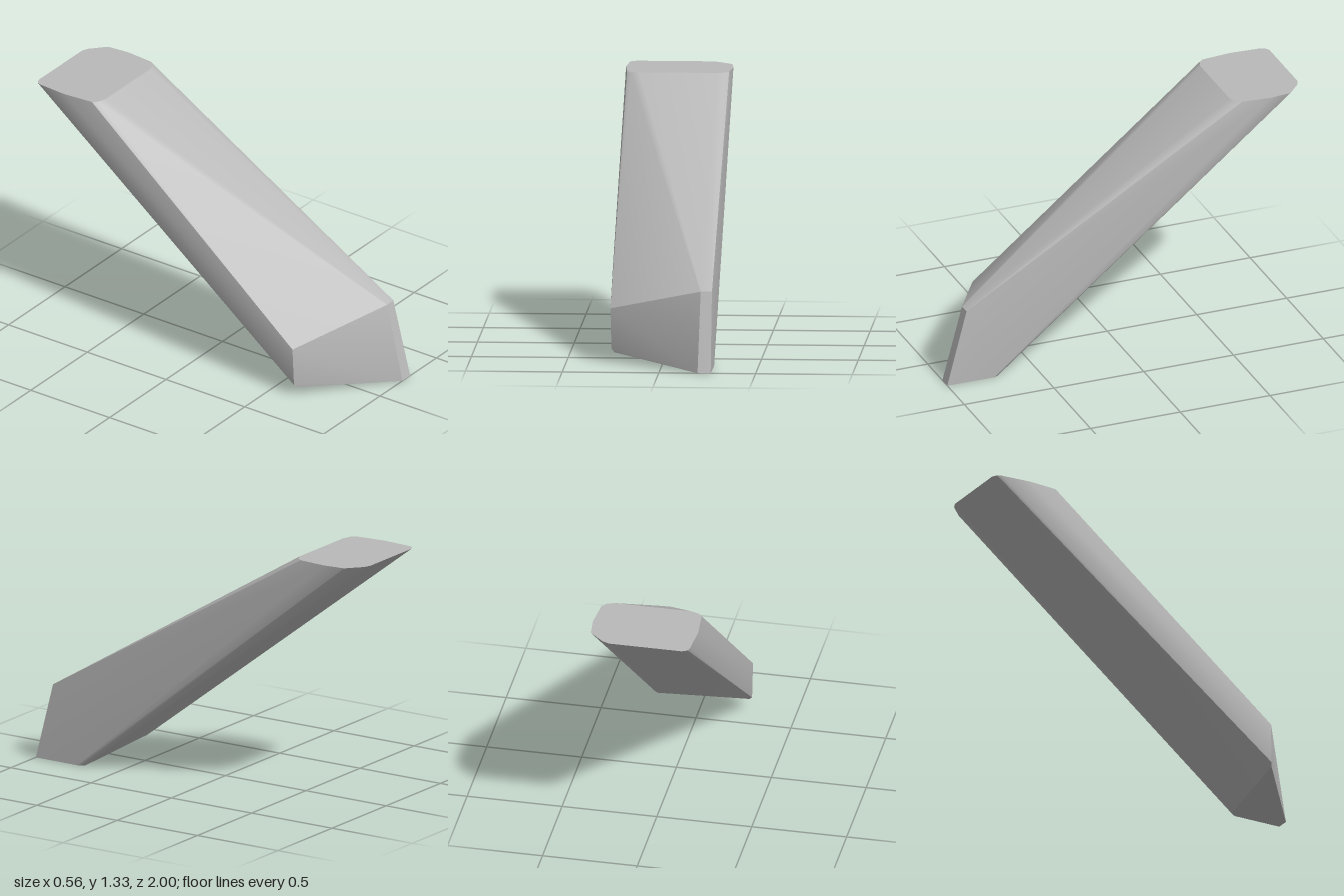
import * as THREE from 'three';
import { ConvexGeometry } from 'three/addons/geometries/ConvexGeometry.js';
import { toCreasedNormals } from 'three/addons/utils/BufferGeometryUtils.js';

export function createModel() {
  const group = new THREE.Group();
  group.name = 'slantedShard';

  const stone = new THREE.MeshStandardMaterial({ color: 0xb8b8b8 });
  stone.name = 'plain grey';

  // Rounded outline of the flat top, as x, z
  const top = 1.325;
  const cap = [
    [-0.2, -0.6], [-0.245, -0.615], [-0.265, -0.64], [-0.28, -0.8],
    [-0.27, -0.96], [-0.262, -0.985], [-0.235, -1], [0.15, -1],
    [0.185, -0.985], [0.262, -0.915], [0.275, -0.8], [0.262, -0.645],
    [0.24, -0.615], [0.2, -0.6],
  ].map(([x, z]) => [x, top, z]);

  // Pointed foot: tall nose on one side, short edge on the other
  const nose = [
    [0.2, 0, 1], [0.268, 0, 1], [0.21, 0.41, 0.895], [0.268, 0.41, 0.893],
    [0.27, 0, 0.74], [0.262, 0, 0.72], [0.245, 0, 0.705],
  ];
  const shortEdge = [
    [-0.25, 0.053, 0.655], [-0.266, 0.07, 0.645],
    [-0.272, 0.28, 0.64], [-0.28, 0.45, 0.3],
  ];

  // The body is the convex skin around these corners
  const points = [...cap, ...nose, ...shortEdge].map((p) => new THREE.Vector3(...p));
  const body = new THREE.Mesh(toCreasedNormals(new ConvexGeometry(points), 0.5), stone);
  body.name = 'shardBody';
  group.add(body);
  return group;
}
